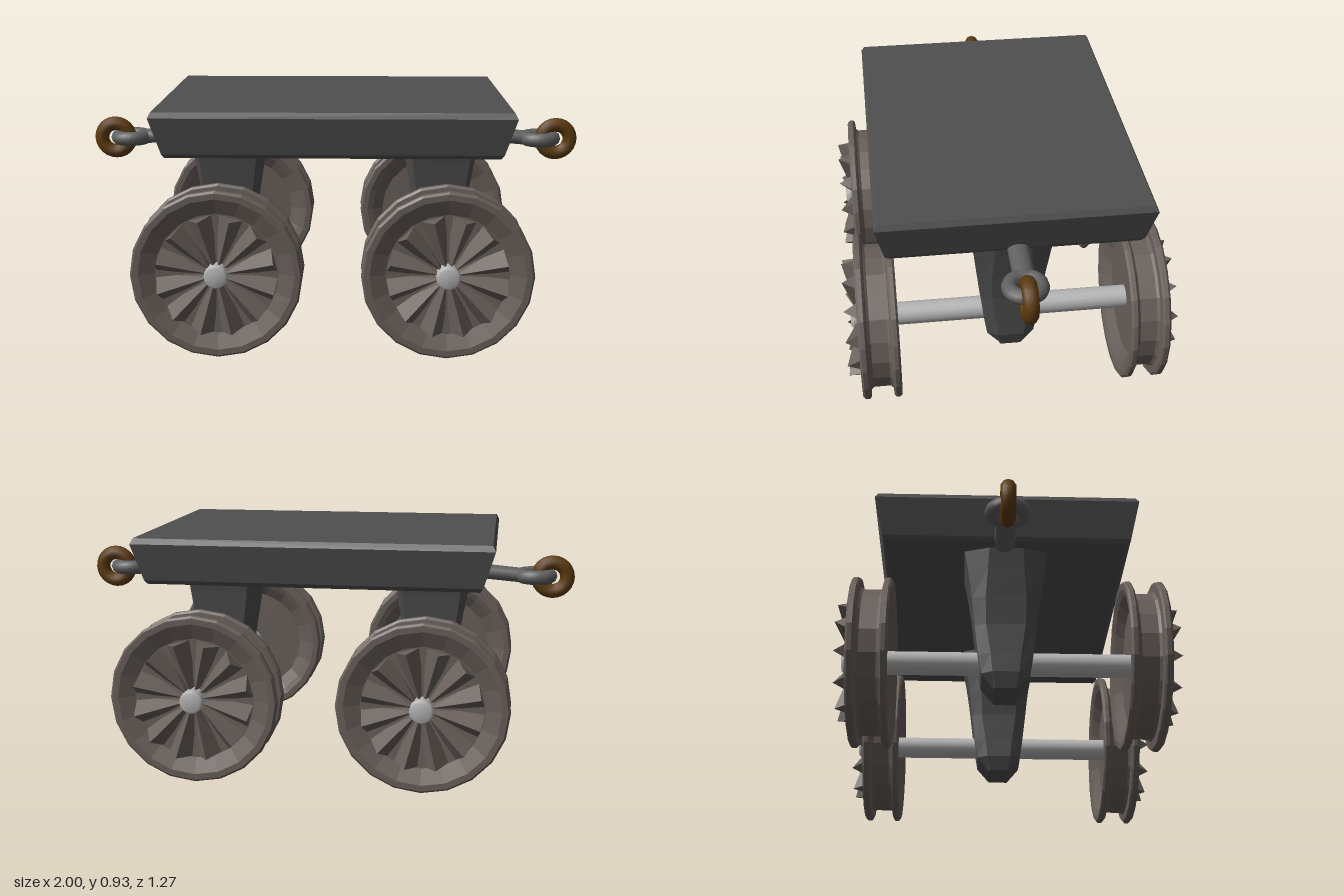
import * as THREE from 'three';
import { ConvexGeometry } from 'three/addons/geometries/ConvexGeometry.js';

const V2 = (x, y) => new THREE.Vector2(x, y);
const V3 = (x, y, z) => new THREE.Vector3(x, y, z);
const paint = (color, flatShading = true) => new THREE.MeshStandardMaterial({ color, flatShading });
const iron = paint(0x4f4f4f);
const wheelMetal = paint(0x685f5a);
const steel = paint(0xb4b4b4, false);
const hookMetal = paint(0x606060, false);
const rust = paint(0x5c3a0e, false);

function add(parent, name, geometry, material) {
  const mesh = new THREE.Mesh(geometry, material);
  mesh.name = name;
  parent.add(mesh);
  return mesh;
}

// Tapered slab with chamfered top and bottom edges: [y, half x, half z]
function deckGeometry() {
  const rows = [[0.752, 0.635, 0.462], [0.768, 0.645, 0.475], [0.91, 0.688, 0.507], [0.932, 0.677, 0.495]];
  const points = [];
  for (const [y, hx, hz] of rows)
    for (const sx of [-1, 1]) for (const sz of [-1, 1]) points.push(V3(sx * hx, y, sz * hz));
  return new ConvexGeometry(points);
}

// Eight-sided post reshaped row by row: [y, half x, half z, end face half z, side face half x]
function bracketGeometry() {
  const rows = [
    [0.76, 0.16, 0.162, 0.065, 0.125], [0.67, 0.142, 0.145, 0.07, 0.115], [0.56, 0.122, 0.13, 0.078, 0.1],
    [0.45, 0.105, 0.118, 0.075, 0.085], [0.33, 0.1, 0.104, 0.058, 0.08], [0.255, 0.098, 0.092, 0.05, 0.075],
    [0.195, 0.08, 0.045, 0.04, 0.065],
  ];
  const n = rows.length - 1;
  const geo = new THREE.CylinderGeometry(1, 1, n, 8, n, false, Math.PI / 8);
  const p = geo.attributes.position;
  for (let i = 0; i < p.count; i++) {
    const [y, hx, hz, fz, fx] = rows[Math.round(n / 2 - p.getY(i))];
    const x = p.getX(i), z = p.getZ(i);
    const onEnd = Math.abs(x) > Math.abs(z);
    const centre = Math.hypot(x, z) < 0.5;
    if (centre) p.setXYZ(i, 0, y, 0);
    else p.setXYZ(i, Math.sign(x) * (onEnd ? hx : fx), y, Math.sign(z) * (onEnd ? fz : hz));
  }
  geo.computeVertexNormals();
  return geo;
}

// Double-flanged wheel, spun around its axle, outer side towards +y
function wheelGeometry() {
  const profile = [
    [0, 0.475], [0.225, 0.475], [0.27, 0.445], [0.295, 0.435], [0.318, 0.435], [0.326, 0.443], [0.326, 0.458],
    [0.318, 0.465], [0.288, 0.468], [0.28, 0.478], [0.28, 0.542], [0.288, 0.552], [0.318, 0.555],
    [0.326, 0.562], [0.326, 0.578], [0.318, 0.586], [0.295, 0.586], [0.235, 0.56], [0, 0.555],
  ];
  return new THREE.LatheGeometry(profile.map(([r, y]) => V2(r, y)), 20);
}

// Ridge that widens and rises from the hub to the rim
function vaneGeometry() {
  return new ConvexGeometry([
    V3(0.03, 0.54, -0.008), V3(0.03, 0.54, 0.008), V3(0.03, 0.585, 0),
    V3(0.226, 0.54, -0.056), V3(0.226, 0.54, 0.056), V3(0.226, 0.636, 0),
  ]);
}

export function createModel() {
  const model = new THREE.Group();
  model.name = 'railCart';

  add(model, 'deck', deckGeometry(), iron).position.z = -0.005;

  const bracket = bracketGeometry();
  const wheel = wheelGeometry();
  const vane = vaneGeometry();

  for (const sx of [-1, 1]) {
    // Bracket, axle and wheel pair
    add(model, 'bracket', bracket, iron).position.set(sx * 0.433, 0, -0.006);

    const axleProfile = [[0, -0.615], [0.036, -0.615], [0.045, -0.603], [0.045, -0.603], [0.045, 0.615], [0.045, 0.615], [0.036, 0.626], [0, 0.626]];
    const axle = add(model, 'axle', new THREE.LatheGeometry(axleProfile.map(([r, y]) => V2(r, y)), 16), steel);
    axle.rotation.x = -Math.PI / 2;
    axle.position.set(sx * 0.435, 0.328, 0);

    for (const sz of [-1, 1]) {
      const group = new THREE.Group();
      group.name = 'wheel';
      group.rotation.x = sz * Math.PI / 2;
      group.position.set(sx * 0.435, 0.328, 0);
      model.add(group);
      add(group, 'wheelRim', wheel, wheelMetal);
      for (let i = 0; i < 12; i++)
        add(group, 'wheelVane', vane, wheelMetal).rotation.y = (i + 0.5) * Math.PI / 6;
    }

    // Coupling: rod, flat eye and hanging ring
    const rodPath = new THREE.LineCurve3(V3(sx * 0.56, 0.765, -0.01), V3(sx * 0.8, 0.745, -0.01));
    const rod = add(model, 'couplingRod', new THREE.TubeGeometry(rodPath, 1, 0.03, 12), hookMetal);
    rod.scale.z = 1.35;
    const eye = add(model, 'couplingEye', new THREE.TorusGeometry(0.057, 0.029, 10, 24), hookMetal);
    eye.rotation.x = Math.PI / 2;
    eye.position.set(sx * 0.845, 0.745, -0.01);
    add(model, 'couplingRing', new THREE.TorusGeometry(0.058, 0.029, 10, 24), rust)
      .position.set(sx * 0.913, 0.742, -0.012);
  }
  return model;
}
